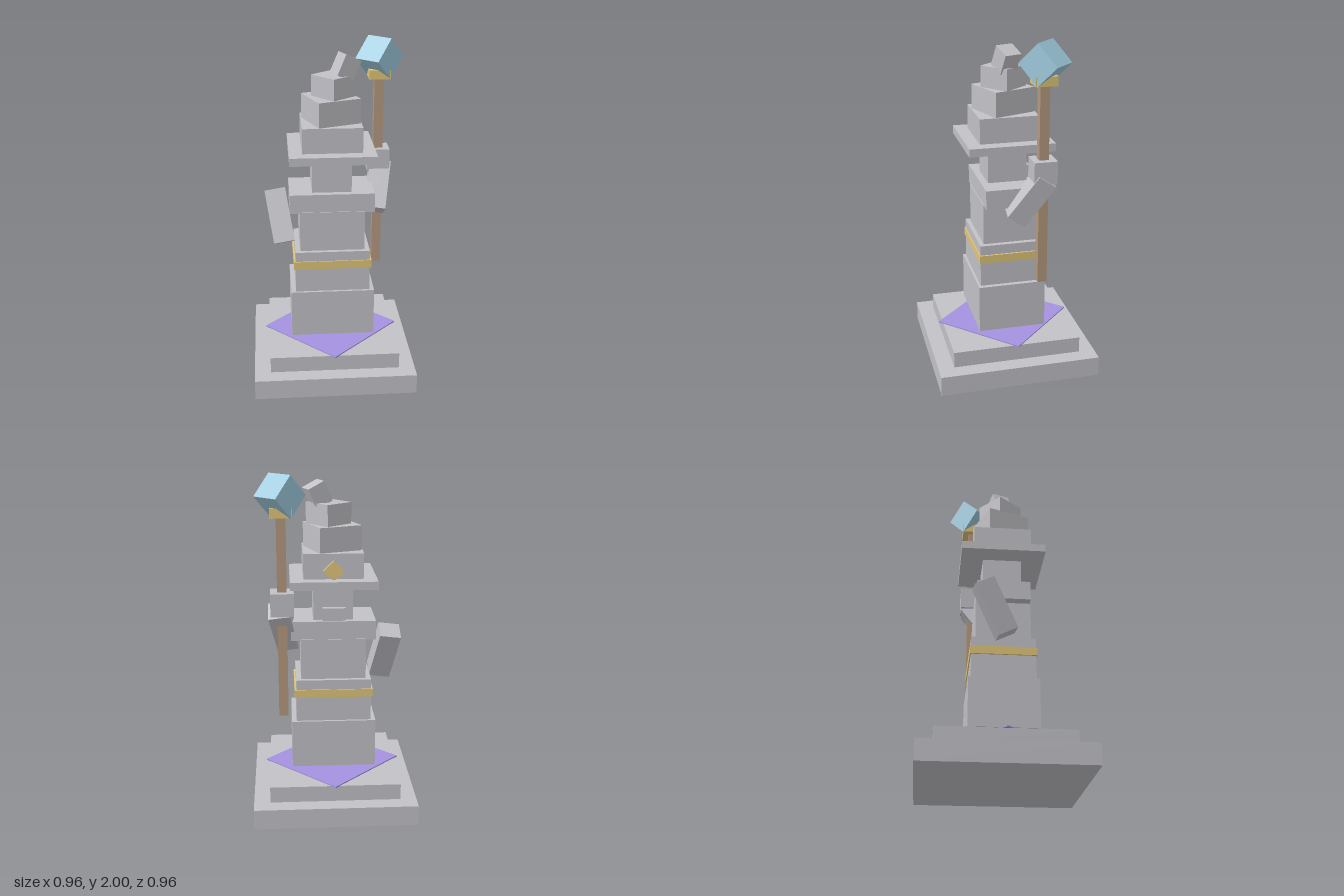
import * as THREE from 'three';

const mat = (name, color) => Object.assign(new THREE.MeshStandardMaterial({ color }), { name });

export function createModel() {
  const stone = mat('stone', 0xc2c1c7);
  const gold = mat('gold', 0xe0c679);
  const wood = mat('wood', 0xb5997f);
  const violet = mat('violet', 0xa593e0);
  const crystal = mat('crystal', 0x9fcbde);

  const model = new THREE.Group();
  model.name = 'wizardStatue';

  // Block given by its size, centre and rotation
  const block = (name, material, size, centre, rotation = [0, 0, 0]) => {
    const mesh = new THREE.Mesh(new THREE.BoxGeometry(...size), material);
    mesh.name = name;
    mesh.position.set(...centre);
    mesh.rotation.set(...rotation);
    model.add(mesh);
  };

  // Upright tier given by width, depth and its bottom and top heights
  const tier = (name, material, w, d, y0, y1, turn = 0, x = 0) =>
    block(name, material, [w, y1 - y0, d], [x, (y0 + y1) / 2, 0], [0, turn, 0]);

  // Plinth and inlaid diamond
  tier('plinthLower', stone, 0.956, 0.956, 0, 0.12);
  tier('plinthUpper', stone, 0.766, 0.766, 0.12, 0.216);
  tier('plinthDiamond', violet, 0.575, 0.575, 0.214, 0.223, Math.PI / 4);

  // Robe, belt and body
  tier('robeHem', stone, 0.495, 0.4, 0.262, 0.55);
  tier('robeSkirt', stone, 0.44, 0.37, 0.55, 0.803);
  tier('belt', gold, 0.46, 0.382, 0.697, 0.745);
  tier('torso', stone, 0.38, 0.32, 0.803, 1.045);
  tier('shoulders', stone, 0.495, 0.31, 1.038, 1.152);
  tier('head', stone, 0.23, 0.23, 1.152, 1.36);
  block('beard', stone, [0.135, 0.075, 0.04], [-0.005, 1.19, -0.125]);

  // Crooked hat with buckle
  tier('hatBrim', stone, 0.498, 0.498, 1.36, 1.407);
  tier('hatBand', stone, 0.345, 0.345, 1.407, 1.553);
  tier('hatMiddle', stone, 0.26, 0.26, 1.553, 1.697, 0.35);
  tier('hatUpper', stone, 0.185, 0.185, 1.697, 1.82, 0.7, 0.02);
  block('hatTip', stone, [0.105, 0.126, 0.106], [0.085, 1.865, 0], [0, 0.35, -0.44]);
  block('hatBuckle', gold, [0.085, 0.085, 0.018], [0, 1.456, -0.18], [0, 0, Math.PI / 4]);

  // Arms and the hand on the staff
  block('rightArm', stone, [0.125, 0.324, 0.12], [-0.306, 0.942, -0.058], [-0.45, 0, 0.155]);
  block('leftArm', stone, [0.125, 0.3, 0.12], [0.288, 1.108, -0.092], [-0.61, 0, -0.17]);
  block('leftHand', stone, [0.134, 0.134, 0.134], [0.295, 1.27, -0.162]);

  // Staff
  block('staffShaft', wood, [0.055, 1.19, 0.055], [0.295, 1.182, -0.16]);
  block('staffCollar', gold, [0.125, 0.055, 0.125], [0.295, 1.79, -0.16]);
  block('staffCrystal', crystal, [0.169, 0.169, 0.17], [0.298, 1.88, -0.164], [0, Math.PI / 4, Math.PI / 4]);

  return model;
}
